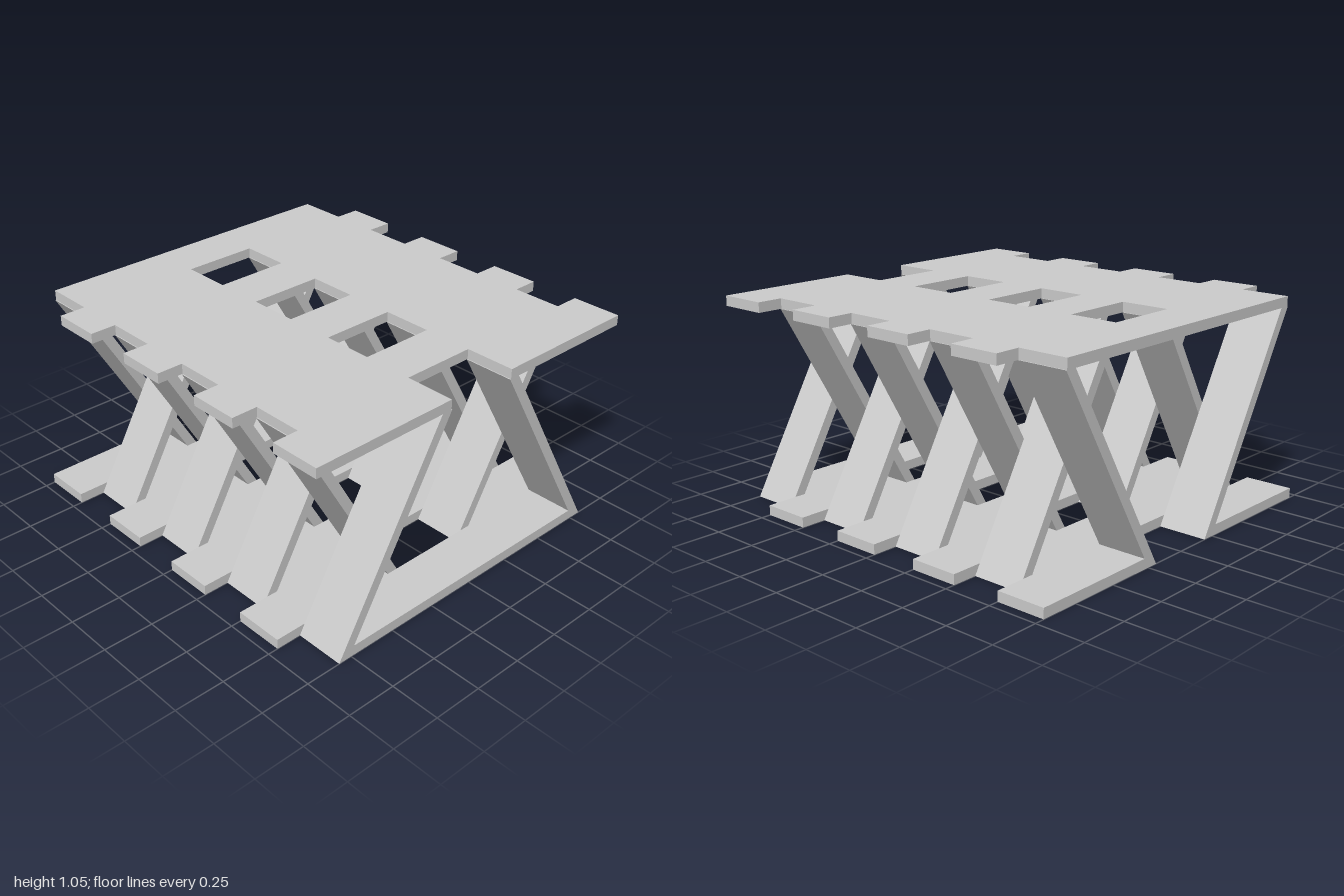
import * as THREE from 'three';

const STRIPS = 8, STEP = 0.25, THICK = 0.05, HALF = 0.95;
const LEG_TOP = 1.0, LEAN = Math.tan(Math.PI / 6);
const LEG_W = THICK / Math.cos(Math.PI / 6); // horizontal width of a slanted leg
const INNER = 0.19, OUTER = 0.82;

// Slab with side notches on even strips, openings on odd strips, and an open slot at the last one
function slabGeometry(hole, notch) {
  const side = [];
  for (let i = 0; i < STRIPS; i++) {
    const x = i % 2 ? HALF : notch, v = -1 + i * STEP;
    side.push([x, v], [x, v + STEP]);
  }
  const slot = [[hole, 1], [hole, 1 - STEP], [-hole, 1 - STEP], [-hole, 1]];
  const mirrored = side.map(([x, v]) => [-x, v]).reverse();
  const outline = [...side, ...slot, ...mirrored].map(([x, v]) => new THREE.Vector2(x, v));
  const shape = new THREE.Shape(outline);
  for (let i = 1; i < STRIPS - 1; i += 2) {
    const a = -1 + i * STEP, b = a + STEP;
    shape.holes.push(new THREE.Path([[-hole, a], [-hole, b], [hole, b], [hole, a]]
      .map(([x, v]) => new THREE.Vector2(x, v))));
  }
  return new THREE.ExtrudeGeometry(shape, { depth: THICK, bevelEnabled: false });
}

// Slanted leg: a parallelogram from floor to top slab, extruded one strip deep
function legGeometry(corners) {
  const shape = new THREE.Shape(corners.map(([x, y]) => new THREE.Vector2(x, y)));
  return new THREE.ExtrudeGeometry(shape, { depth: STEP, bevelEnabled: false });
}

export function createModel() {
  const model = new THREE.Group();
  model.name = 'slattedTable';
  const material = new THREE.MeshStandardMaterial({ color: 0xcccccc, flatShading: true });
  const add = (geometry, name) => {
    const mesh = new THREE.Mesh(geometry, material);
    mesh.name = name;
    model.add(mesh);
    return mesh;
  };

  // Table top, open slot at the front
  add(slabGeometry(INNER, OUTER).rotateX(Math.PI / 2).translate(0, LEG_TOP + THICK, 0), 'tableTop');
  // Base, the same pattern reversed; its cut edges are finished by the leg feet
  add(slabGeometry(INNER + LEG_W, OUTER - LEG_W).rotateX(-Math.PI / 2), 'base');

  // Legs alternate between leaning outward and inward
  const run = LEAN * LEG_TOP;
  for (let i = 0; i < STRIPS; i++) {
    const outward = i % 2 === 1;
    const foot = outward ? OUTER - LEG_W : INNER;
    const head = outward ? foot - run : foot + run;
    for (const s of [1, -1]) {
      const corners = [[foot, 0], [foot + LEG_W, 0], [head + LEG_W, LEG_TOP], [head, LEG_TOP]]
        .map(([x, y]) => [s * x, y]);
      const leg = add(legGeometry(corners), `${s > 0 ? 'left' : 'right'}Leg${i + 1}`);
      leg.position.z = -1 + i * STEP;
    }
  }
  return model;
}
